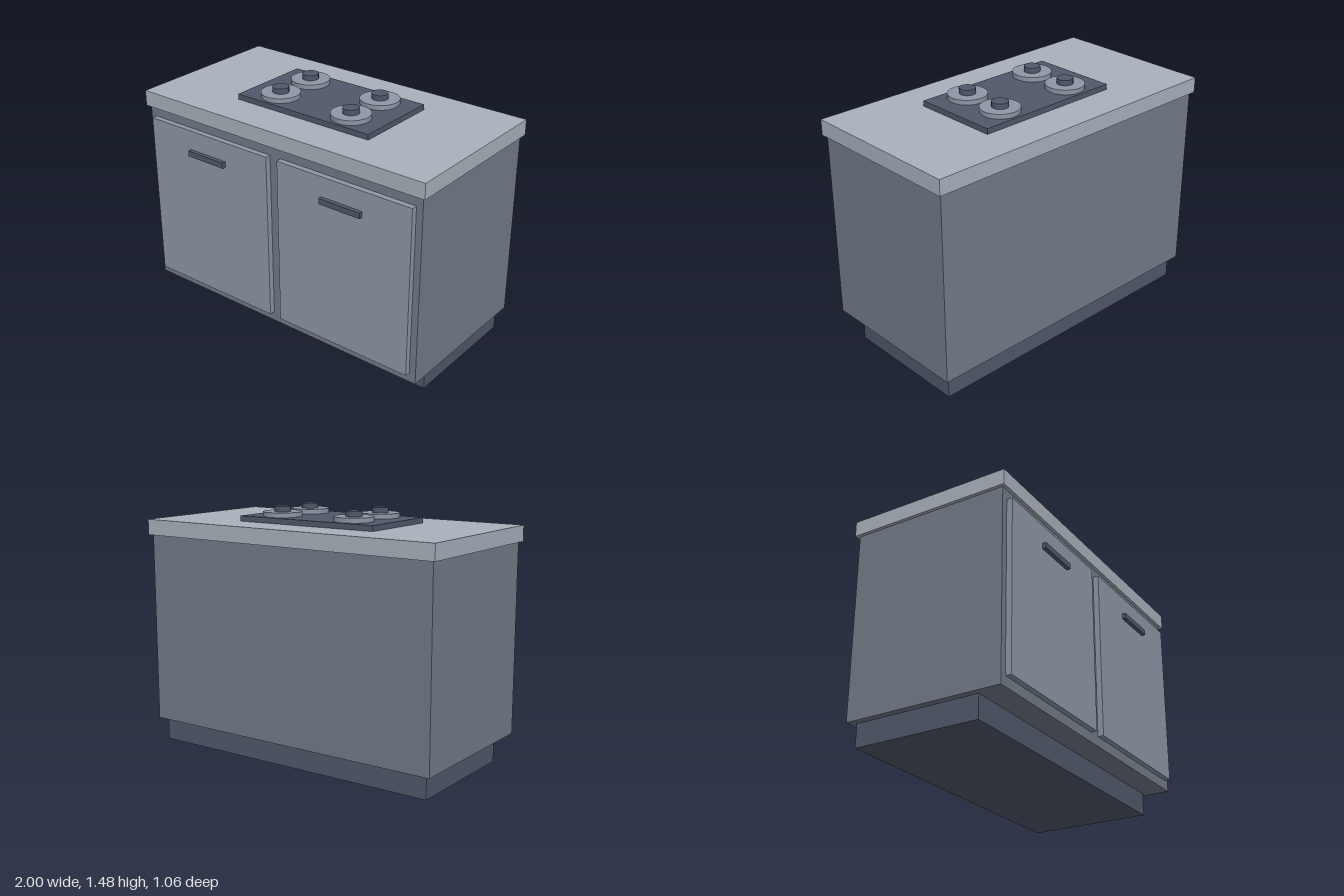
import * as THREE from 'three';

const paint = (color) => new THREE.MeshStandardMaterial({ color });

export function createModel() {
  const model = new THREE.Group();
  const dark = paint(0x4f586a);
  const bodyGrey = paint(0x737b88);
  const doorGrey = paint(0x8d97a6);
  const topGrey = paint(0xa9b1bc);

  // Box given by its minimum and maximum on each axis
  const box = (name, material, [x0, x1], [y0, y1], [z0, z1]) => {
    const mesh = new THREE.Mesh(new THREE.BoxGeometry(x1 - x0, y1 - y0, z1 - z0), material);
    mesh.name = name;
    mesh.position.set((x0 + x1) / 2, (y0 + y1) / 2, (z0 + z1) / 2);
    model.add(mesh);
  };

  // Upright disc standing on y0
  const disc = (name, material, radius, [y0, y1], x, z, sides) => {
    const mesh = new THREE.Mesh(new THREE.CylinderGeometry(radius, radius, y1 - y0, sides), material);
    mesh.name = name;
    mesh.position.set(x, (y0 + y1) / 2, z);
    model.add(mesh);
  };

  // Cabinet
  box('plinth', dark, [-0.94, 0.94], [0, 0.14], [-0.467, 0.315]);
  box('cabinetBody', bodyGrey, [-0.98, 0.98], [0.14, 1.296], [-0.506, 0.471]);
  box('countertop', topGrey, [-1, 1], [1.296, 1.39], [-0.526, 0.491]);

  // Doors with bar handles
  for (const [side, x] of [['left', 0.489], ['right', -0.489]]) {
    box(side + 'Door', doorGrey, [x - 0.45, x + 0.45], [0.2, 1.235], [0.471, 0.506]);
    box(side + 'Handle', dark, [x - 0.137, x + 0.137], [1.08, 1.115], [0.506, 0.53]);
  }

  // Hob with four burners
  box('hobPlate', dark, [-0.47, 0.47], [1.39, 1.423], [-0.288, 0.25]);
  for (const x of [-0.255, 0.255]) {
    for (const z of [-0.155, 0.118]) {
      disc('burnerRing', doorGrey, 0.117, [1.423, 1.451], x, z, 24);
      disc('burnerCap', dark, 0.049, [1.451, 1.483], x, z, 16);
    }
  }

  return model;
}
